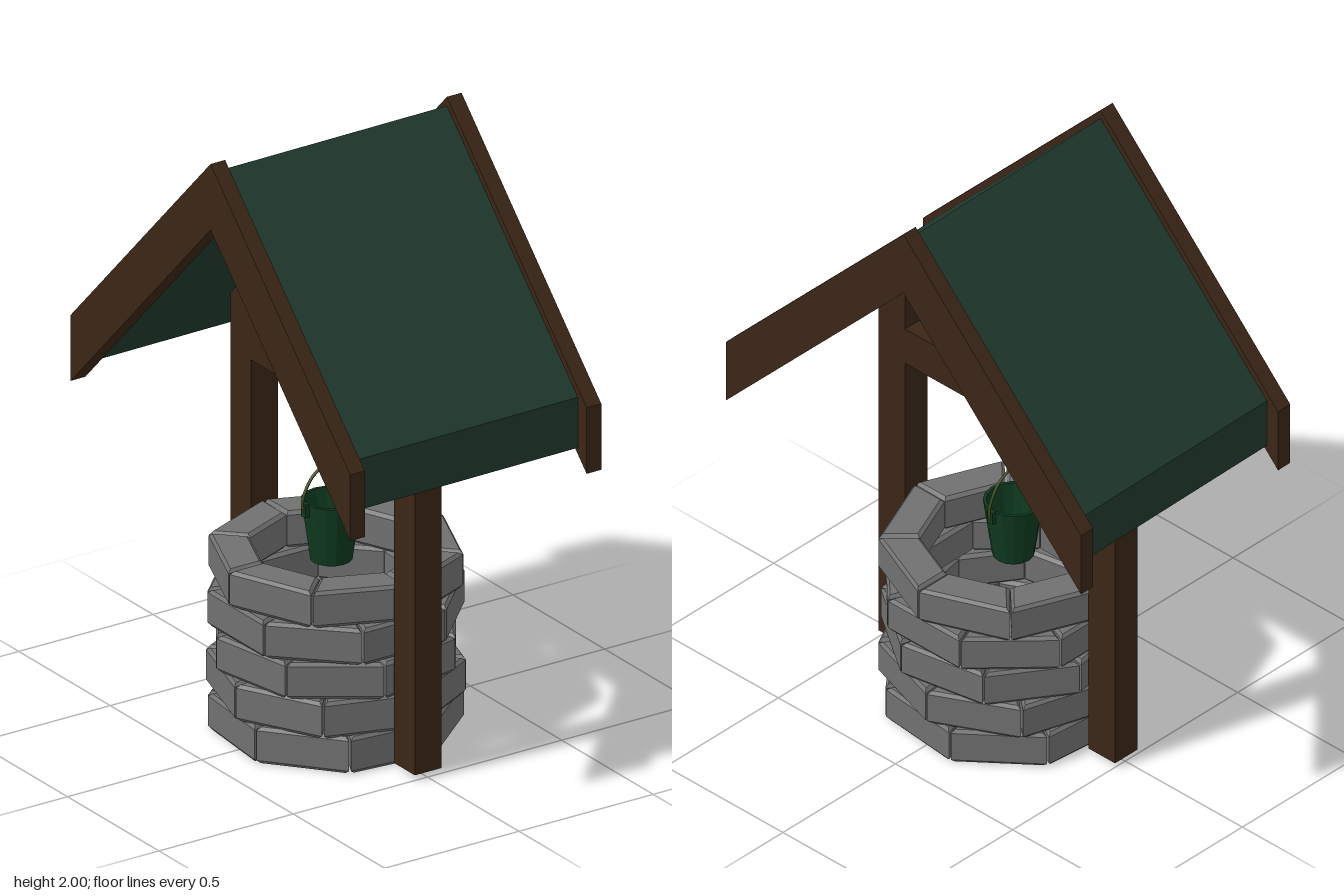
import * as THREE from 'three';

const mat = (color, opts = {}) => new THREE.MeshStandardMaterial({ color, ...opts });
const wood = mat(0x3a2616);
const roofGreen = mat(0x203a2e);
const stone = mat(0x707070, { flatShading: true });
const bucketGreen = mat(0x0f3a20, { side: THREE.DoubleSide, flatShading: true });
const rope = mat(0x3f4f16);

function add(parent, name, geometry, material, x = 0, y = 0, z = 0) {
  const mesh = new THREE.Mesh(geometry, material);
  mesh.name = name;
  mesh.position.set(x, y, z);
  parent.add(mesh);
  return mesh;
}

// Inverted V slab, drawn in the z-y plane and extruded along x
function gable(reach, apex, slope, thickness, width) {
  const drop = reach * slope;
  const shape = new THREE.Shape([
    [0, apex], [-reach, apex - drop], [-reach, apex - drop - thickness],
    [0, apex - thickness], [reach, apex - drop - thickness], [reach, apex - drop],
  ].map(([a, b]) => new THREE.Vector2(a, b)));
  return new THREE.ExtrudeGeometry(shape, { depth: width, bevelEnabled: false })
    .translate(0, 0, -width / 2).rotateY(Math.PI / 2);
}

// One bevelled wedge of an eight-sided ring, centred on +x
function stoneBlock(height, outer, inner) {
  const b = 0.011, half = Math.PI / 8, gap = b + 0.002;
  const r0 = inner + b, r1 = outer * Math.cos(half) - b;
  const w0 = r0 * Math.tan(half) - gap, w1 = r1 * Math.tan(half) - gap;
  const shape = new THREE.Shape([
    new THREE.Vector2(r0, -w0), new THREE.Vector2(r1, -w1),
    new THREE.Vector2(r1, w1), new THREE.Vector2(r0, w0),
  ]);
  return new THREE.ExtrudeGeometry(shape, {
    depth: height - 2 * b, bevelThickness: b, bevelSize: b, bevelSegments: 1,
  }).translate(0, 0, b).rotateX(-Math.PI / 2);
}

function buildWall() {
  const wall = new THREE.Group();
  wall.name = 'stoneWall';
  // Bottom y, outer corner radius and joint angle of each course
  const courses = [
    [0, 0.4, 17], [0.119, 0.405, 5], [0.24, 0.402, -12], [0.365, 0.408, 22.5], [0.488, 0.402, 0],
  ];
  for (const [y, radius, joint] of courses) {
    const geometry = stoneBlock(0.122, radius, 0.25);
    for (let i = 0; i < 8; i++) {
      const block = add(wall, 'stone', geometry, stone, 0, y, 0);
      block.rotation.y = THREE.MathUtils.degToRad(joint + 22.5 + i * 45);
    }
  }
  return wall;
}

function buildRoof() {
  const roof = new THREE.Group();
  roof.name = 'roof';
  add(roof, 'roofPanels', gable(0.7, 1.97, 1.04, 0.17, 0.85), roofGreen);
  for (const side of [-1, 1]) {
    add(roof, 'rafters', gable(0.747, 2, 1.04, 0.222, 0.055), wood, side * 0.445);
  }
  roof.rotation.y = 0.0155;
  return roof;
}

function buildBucket() {
  const bucket = new THREE.Group();
  bucket.name = 'bucket';
  bucket.position.set(-0.005, 0, -0.018);
  const profile = [[0, 0.55], [0.066, 0.55], [0.094, 0.752], [0.084, 0.752], [0.06, 0.565], [0, 0.565]];
  add(bucket, 'pail', new THREE.LatheGeometry(profile.map(([r, y]) => new THREE.Vector2(r, y)), 16), bucketGreen);
  for (const side of [-1, 1]) {
    add(bucket, 'handleEar', new THREE.BoxGeometry(0.016, 0.045, 0.024), bucketGreen, side * 0.097, 0.735, 0);
  }
  // Bail hooked into the two ears
  const bail = [
    [-0.098, 0.72], [-0.108, 0.75], [-0.1, 0.79], [-0.065, 0.845], [0, 0.872],
    [0.065, 0.845], [0.1, 0.79], [0.108, 0.75], [0.098, 0.72],
  ].map(([x, y]) => new THREE.Vector3(x, y, 0));
  add(bucket, 'handle', new THREE.TubeGeometry(new THREE.CatmullRomCurve3(bail), 32, 0.005, 6), rope);
  return bucket;
}

function buildRope() {
  const group = new THREE.Group();
  group.name = 'rope';
  // Turns wound round the square crossbar
  const turns = 6, steps = 16, points = [];
  const round = (v) => Math.sign(v) * Math.pow(Math.abs(v), 0.65);
  for (let i = 0; i <= turns * steps; i++) {
    const a = (i / steps) * Math.PI * 2;
    const slack = 0.004 * Math.sin(a * 0.37);
    points.push(new THREE.Vector3(
      (0.065 + slack) * round(Math.cos(a)),
      1.16 + (0.077 + slack) * round(Math.sin(a)),
      0.006 - 0.066 * (i / (turns * steps)) + 0.006 * Math.sin(a + i * 0.05),
    ));
  }
  add(group, 'ropeCoil', new THREE.TubeGeometry(new THREE.CatmullRomCurve3(points), 240, 0.009, 6), rope);
  // Hanging length and the knot on the bucket handle
  add(group, 'hangingRope', new THREE.CylinderGeometry(0.007, 0.007, 0.24, 8), rope, -0.005, 0.985, -0.016);
  add(group, 'knot', new THREE.SphereGeometry(0.018, 10, 8), rope, -0.005, 0.868, -0.018);
  return group;
}

export function createModel() {
  const well = new THREE.Group();
  well.name = 'well';
  well.add(buildWall(), buildRoof(), buildBucket(), buildRope());
  // Posts and the crossbar between them
  for (const side of [-1, 1]) {
    add(well, 'post', new THREE.BoxGeometry(0.1, 1.38, 0.113), wood, 0, 0.71, side * 0.448);
  }
  add(well, 'crossbar', new THREE.BoxGeometry(0.1, 0.13, 0.8), wood, 0, 1.156, 0);
  return well;
}
